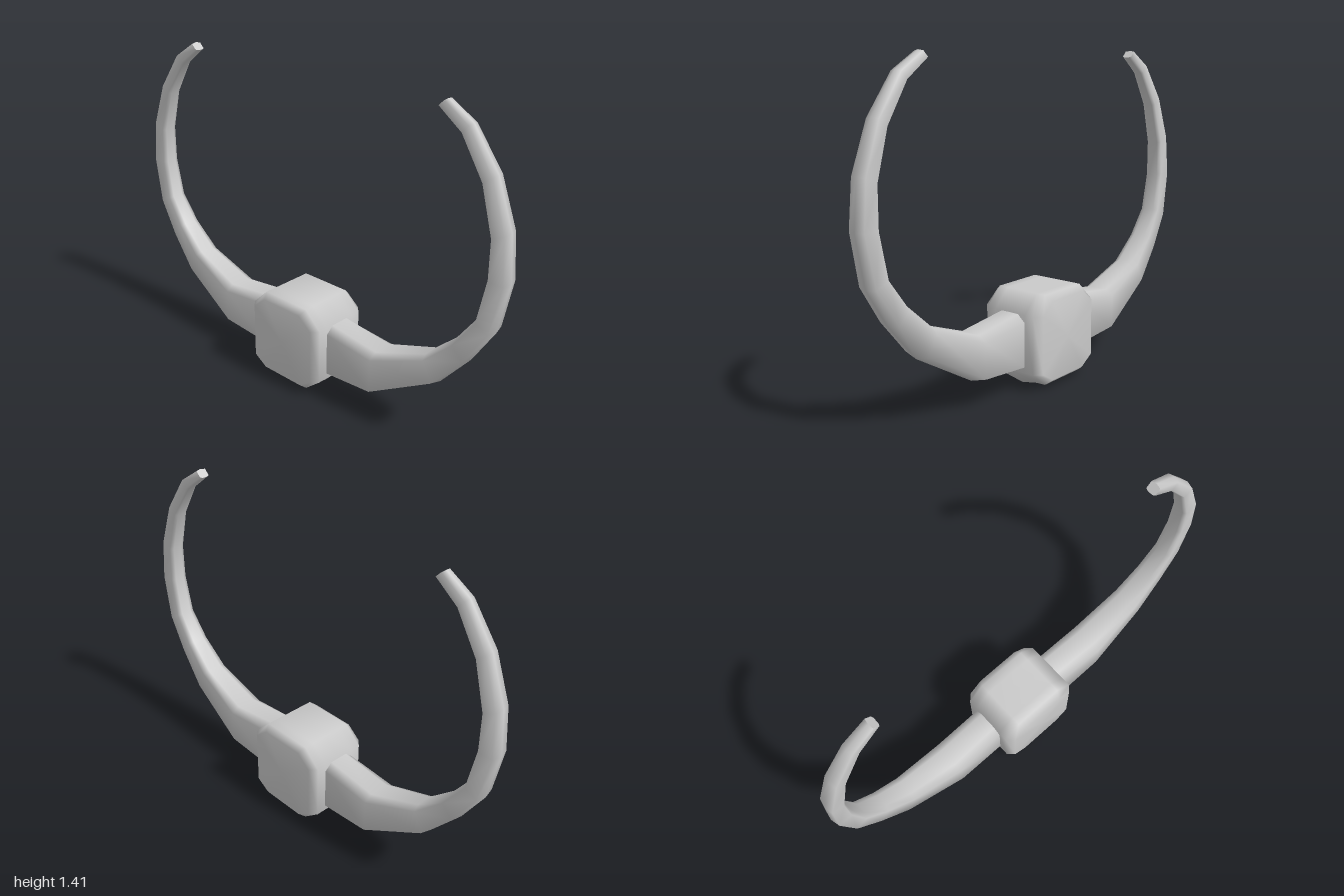
import * as THREE from 'three';

// Skin a list of equal-length rings (counter-clockwise about the path), with end caps
function loft(rings, sharpCaps) {
  const n = rings[0].length, pos = rings.flat(2), index = [];
  for (let i = 0; i < rings.length - 1; i++) {
    for (let j = 0; j < n; j++) {
      const a = i * n + j, b = i * n + (j + 1) % n;
      index.push(a, b, b + n, a, b + n, a + n);
    }
  }
  [0, rings.length - 1].forEach((r) => {
    let base = r * n;
    if (sharpCaps) {
      base = pos.length / 3;
      pos.push(...rings[r].flat());
    }
    const centre = pos.length / 3;
    for (let k = 0; k < 3; k++) pos.push(rings[r].reduce((s, p) => s + p[k], 0) / n);
    for (let j = 0; j < n; j++) {
      const a = base + j, b = base + (j + 1) % n;
      if (r === 0) index.push(centre, b, a);
      else index.push(centre, a, b);
    }
  });
  const g = new THREE.BufferGeometry();
  g.setAttribute('position', new THREE.Float32BufferAttribute(pos, 3));
  g.setIndex(index);
  g.computeVertexNormals();
  return g;
}

// Arm stations: inner x, inner y, outer x, outer y, half depth in z
const stations = [
  [0.12, 0.34, 0.12, 0.08, 0.08],
  [0.2, 0.335, 0.2, 0.078, 0.08],
  [0.44, 0.305, 0.44, 0.105, 0.083],
  [0.68, 0.395, 0.735, 0.28, 0.064],
  [0.80, 0.505, 0.865, 0.435, 0.053],
  [0.885, 0.625, 0.96, 0.59, 0.046],
  [0.917, 0.80, 1.0, 0.80, 0.041],
  [0.915, 0.96, 0.982, 0.99, 0.038],
  [0.86, 1.15, 0.91, 1.185, 0.033],
  [0.76, 1.305, 0.795, 1.345, 0.027],
  [0.655, 1.382, 0.685, 1.412, 0.023],
];
// Cross-section: z share, then position from outer (-1) to inner (+1)
const section = [[0, -1], [-1, -0.75], [-1, 0.75], [-0.55, 1], [0.55, 1], [1, 0.75], [1, -0.75]];

function armGeometry(side) {
  const rings = stations.map(([ix, iy, ox, oy, d]) => section.map(([w, v]) => {
    const t = (v + 1) / 2;
    return [side * (ox + (ix - ox) * t), oy + (iy - oy) * t, w * d];
  }));
  return loft(side > 0 ? rings : rings.reverse(), true);
}

// Octagonal block, skinned from back to front with bevelled rims
function blockGeometry() {
  const ring = (z, inset, bottom) => {
    const x = 0.2 - inset, c = 0.12 - inset * 0.5, top = 0.412 - inset * 0.8, low = bottom + inset * 0.8;
    return [[x, 0.085], [x, 0.335], [c, top], [-c, top], [-x, 0.335], [-x, 0.085], [-c, low], [c, low]]
      .map(([px, py]) => [px, py, z]);
  };
  return loft([
    ring(-0.155, 0.03, 0.02), ring(-0.125, 0, 0.02), ring(-0.08, 0, 0.018),
    ring(0, 0, 0.003),
    ring(0.08, 0, 0.018), ring(0.125, 0, 0.02), ring(0.155, 0.03, 0.02),
  ], false);
}

export function createModel() {
  const group = new THREE.Group();
  const material = new THREE.MeshStandardMaterial({ color: 0xcccccc });
  const add = (name, geometry) => {
    const mesh = new THREE.Mesh(geometry, material);
    mesh.name = name;
    group.add(mesh);
  };
  add('centreBlock', blockGeometry());
  add('leftHorn', armGeometry(1));
  add('rightHorn', armGeometry(-1));
  return group;
}
